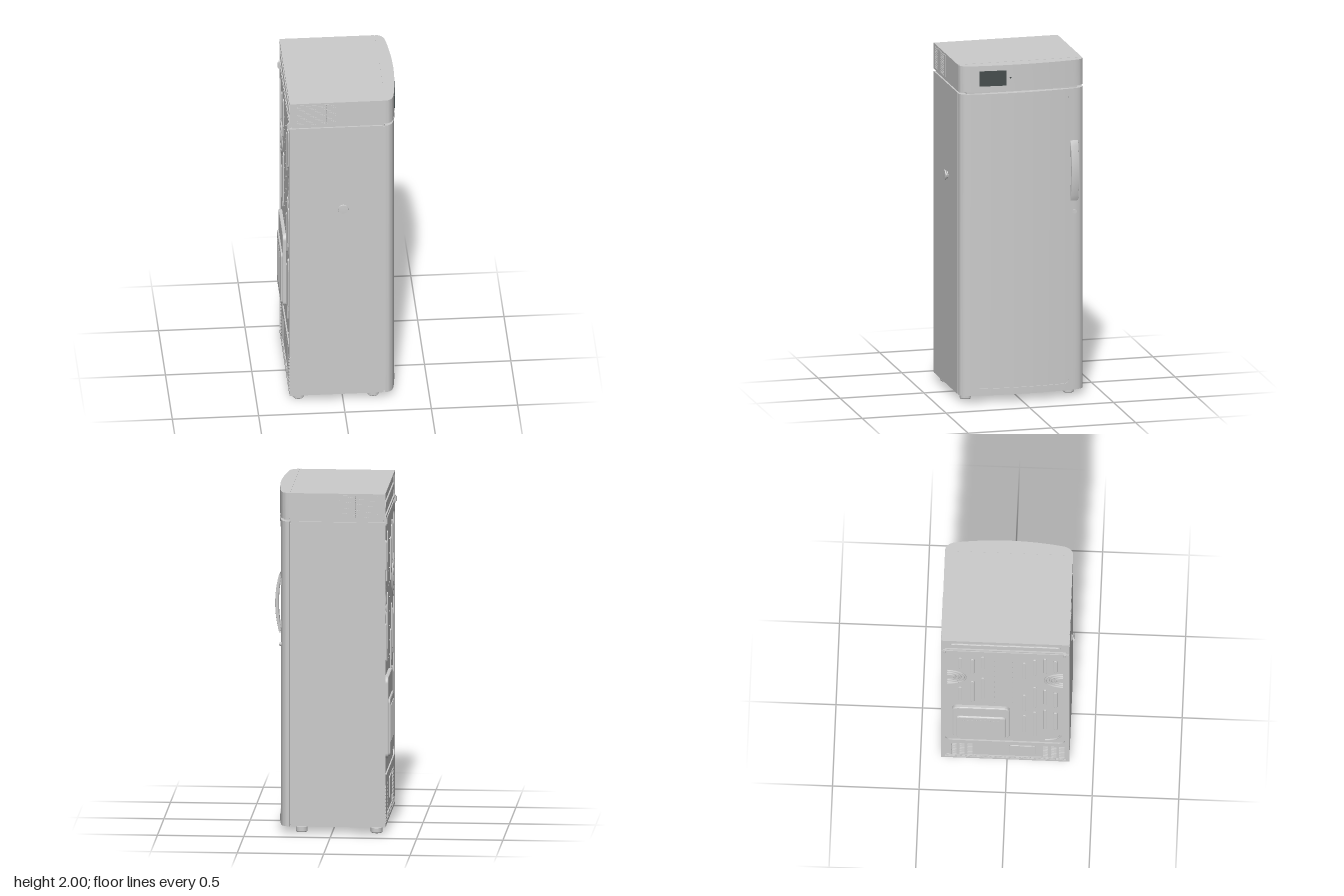
import * as THREE from 'three';
import { mergeGeometries, toCreasedNormals } from 'three/addons/utils/BufferGeometryUtils.js';

const grey = new THREE.MeshStandardMaterial({ color: 0xcccccc });
const dark = new THREE.MeshStandardMaterial({ color: 0x454d4d });
const ZC = -0.01, HALF = 0.37, BACK = -0.302; // cabinet centre in z, half width, rear sheet

// Rounded rectangle centred on (x, y)
function roundRect(x, y, w, h, r, Type = THREE.Shape) {
  const s = new Type(), a = w / 2, b = h / 2;
  s.moveTo(x - a + r, y - b);
  s.absarc(x + a - r, y - b + r, r, -Math.PI / 2, 0);
  s.absarc(x + a - r, y + b - r, r, 0, Math.PI / 2);
  s.absarc(x - a + r, y + b - r, r, Math.PI / 2, Math.PI);
  s.absarc(x - a + r, y - b + r, r, Math.PI, Math.PI * 1.5);
  return s;
}

const extrude = (shape, depth, bevel = 0) => new THREE.ExtrudeGeometry(shape, {
  depth: depth - bevel, bevelEnabled: bevel > 0, bevelSize: bevel, bevelOffset: -bevel,
  bevelThickness: bevel, bevelSegments: 2, curveSegments: 6 });

// Raised piece on the rear sheet; shape runs in (z, y) and grows towards -x
const onBack = (shape, depth, bevel = 0, x = BACK) =>
  extrude(shape, depth, bevel).rotateY(-Math.PI / 2).translate(x, 0, 0);

// Bowed door outline as [x, z] from +z to -z
function frontOutline() {
  const arcX = d => 0.32 - 0.022 * (d / 0.305) ** 2;
  const corner = new THREE.QuadraticBezierCurve(new THREE.Vector2(0.243, HALF),
    new THREE.Vector2(0.289, HALF), new THREE.Vector2(0.298, 0.305)).getPoints(10);
  const half = corner.map(p => [p.x, p.y]);
  const panel = [0.278, 0.277, 0.275, 0.272, 0.268, 0.263, 0.256, 0.248];
  for (const d of [...panel, 0.21, 0.17, 0.13, 0.09, 0.045]) half.push([arcX(d), d]);
  const mirror = half.map(([x, d]) => [x, -d]).reverse();
  return [...half, [arcX(0), 0], ...mirror].map(([x, d]) => [x, d + ZC]);
}

// Prism with the bowed outline, standing between y0 and y1
function bowedBlock(y0, y1) {
  const s = new THREE.Shape(frontOutline().map(([x, z]) => new THREE.Vector2(x, -z)));
  const g = extrude(s, y1 - y0).rotateX(-Math.PI / 2).translate(0, y0, 0);
  return toCreasedNormals(g, 0.5);
}

// Door skin with a rounded, recessed panel
function doorSkin(y0, y1) {
  const pos = [], pts = frontOutline(), W = 0.278, R = 0.03, lo = 0.08, hi = 1.8, rec = 0.007;
  const quad = (a, b, c, d) => pos.push(...a, ...b, ...c, ...a, ...c, ...d);
  const inset = z => {
    const e = Math.max(0, Math.abs(z - ZC) - (W - R));
    return R - Math.sqrt(Math.max(0, R * R - e * e));
  };
  const strip = ([xa, za], [xb, zb], a0, a1, b0, b1) =>
    quad([xa, a0, za], [xb, b0, zb], [xb, b1, zb], [xa, a1, za]);
  for (let i = 0; i < pts.length - 1; i++) {
    const a = pts[i], b = pts[i + 1];
    if (Math.max(Math.abs(a[1] - ZC), Math.abs(b[1] - ZC)) > W + 1e-6) {
      strip(a, b, y0, y1, y0, y1);
      continue;
    }
    const ia = inset(a[1]), ib = inset(b[1]);
    const ar = [a[0] - rec, a[1]], br = [b[0] - rec, b[1]];
    strip(a, b, y0, lo + ia, y0, lo + ib);
    strip(a, b, hi - ia, y1, hi - ib, y1);
    strip(ar, br, lo + ia, hi - ia, lo + ib, hi - ib);
    const P = (p, y) => [p[0], y, p[1]];
    quad(P(a, lo + ia), P(b, lo + ib), P(br, lo + ib), P(ar, lo + ia));
    quad(P(ar, hi - ia), P(br, hi - ib), P(b, hi - ib), P(a, hi - ia));
  }
  // upright edges of the recess
  for (const s of [1, -1]) {
    const p = pts.find(q => Math.abs(q[1] - ZC - s * W) < 1e-6), [x, z] = p;
    const c = [[x, lo + R, z], [x - rec, lo + R, z], [x - rec, hi - R, z], [x, hi - R, z]];
    quad(...(s > 0 ? c : c.reverse()));
  }
  // top, bottom and rear
  const caps = THREE.ShapeUtils.triangulateShape(pts.map(([x, z]) => new THREE.Vector2(x, -z)), []);
  for (const [a, b, c] of caps) {
    const P = (i, y) => [pts[i][0], y, pts[i][1]];
    pos.push(...P(a, y1), ...P(b, y1), ...P(c, y1), ...P(c, y0), ...P(b, y0), ...P(a, y0));
  }
  strip(pts[pts.length - 1], pts[0], y0, y1, y0, y1);
  const g = new THREE.BufferGeometry();
  g.setAttribute('position', new THREE.Float32BufferAttribute(pos, 3));
  return toCreasedNormals(g, 0.5);
}

export function createModel() {
  const model = new THREE.Group();
  const add = (name, geo, mat = grey) => {
    const m = new THREE.Mesh(geo, mat);
    m.name = name;
    model.add(m);
    return m;
  };
  const box = (x0, x1, y0, y1, z0, z1) => new THREE.BoxGeometry(x1 - x0, y1 - y0, z1 - z0)
    .translate((x0 + x1) / 2, (y0 + y1) / 2, (z0 + z1) / 2);

  // Cabinet, head and the seams between them
  add('cabinet', box(BACK, 0.235, 0.04, 1.832, -0.38, 0.36));
  add('doorGasket', box(0.23, 0.246, 0.05, 1.82, -0.372, 0.352));
  add('headSeam', box(-0.295, 0.24, 1.825, 1.85, -0.37, 0.35));
  add('head', box(BACK, 0.237, 1.846, 2, -0.38, 0.36));
  add('headSeamFront', box(0.23, 0.28, 1.825, 1.85, -0.34, 0.32));
  add('headFront', bowedBlock(1.846, 2)).scale.set(1, 1, 1);
  add('headJoint', box(0.23, 0.246, 1.85, 1.999, -0.379, 0.359));
  add('door', doorSkin(0.04, 1.832));

  // Rims around the rear sheets
  const rim = (y0, y1, w, h, cy, r) => {
    const s = roundRect(ZC, (y0 + y1) / 2, 0.74, y1 - y0, 0.001);
    s.holes.push(roundRect(ZC, cy, w, h, r, THREE.Path));
    return onBack(s, 0.008);
  };
  add('rearRim', rim(0.3, 1.832, 0.69, 1.45, 1.06, 0.04));
  add('rearHeadRim', rim(1.846, 2, 0.71, 0.125, 1.923, 0.01));
  add('rearLowerRim', rim(0.04, 0.3, 0.71, 0.225, 0.172, 0.01));
  add('rearHeadRib', onBack(roundRect(ZC, 1.92, 0.64, 0.04, 0.019), 0.008, 0.003));

  // Pressed upright ribs: [z, bottom, top]
  const ribs = [[-0.27, 1.53, 1.71], [-0.2, 1.45, 1.69], [-0.14, 1.55, 1.74],
    [-0.27, 1.0, 1.22], [-0.2, 0.98, 1.32], [-0.14, 1.04, 1.38],
    [0.1, 1.4, 1.66], [0.16, 1.46, 1.72], [0.22, 1.5, 1.74], [0.28, 1.53, 1.71],
    [0.1, 0.86, 1.12], [0.16, 0.92, 1.26], [0.22, 0.98, 1.22], [0.28, 0.94, 1.18],
    [0.1, 0.5, 0.78], [0.16, 0.44, 0.84], [0.22, 0.56, 0.88], [0.28, 0.56, 0.84]];
  add('rearRibs', mergeGeometries(ribs.map(([z, a, b]) =>
    onBack(roundRect(z, (a + b) / 2, 0.022, b - a, 0.0109), 0.007, 0.003))));

  // Half-round pressings by both edges, and a curved one low down
  const ring = (r, turn, z, y, arc = Math.PI) => new THREE.TorusGeometry(r, 0.007, 8, 20, arc)
    .rotateZ(turn).rotateY(-Math.PI / 2).translate(BACK, y, z);
  const rings = [0.045, 0.075, 0.105].flatMap(r =>
    [ring(r, -Math.PI / 2, -0.345, 1.38), ring(r, Math.PI / 2, 0.325, 1.38)]);
  add('rearPressings', mergeGeometries([...rings, ring(0.09, -Math.PI / 2, 0.22, 0.47, Math.PI / 2)]));

  // Small fixings down the middle
  const dots = [];
  for (let i = 0; i < 9; i++) for (const z of [-0.07, 0.03])
    dots.push(new THREE.CylinderGeometry(0.004, 0.004, 0.006, 8).rotateZ(Math.PI / 2)
      .translate(BACK - 0.001, 0.98 + i * 0.085, z));
  add('rearRivets', mergeGeometries(dots));

  // Compressor cover in two tiers, with slats
  add('compressorCover', onBack(roundRect(-0.15, 0.67, 0.33, 0.48, 0.035), 0.02, 0.006));
  add('compressorCoverBulge', onBack(roundRect(-0.15, 0.61, 0.29, 0.34, 0.025), 0.03, 0.008));
  const slats = [];
  for (let i = 0; i < 9; i++)
    slats.push(onBack(roundRect(-0.25 + i * 0.025, 0.63, 0.01, 0.22, 0.004), 0.004, 0, -0.331));
  add('compressorSlats', mergeGeometries(slats));

  // Perforated plates: cols x rows of square holes
  const perforated = (cx, cy, w, h, cols, rows, fill) => {
    const s = roundRect(cx, cy, w, h, 0.003), dx = w / cols, dy = h / rows;
    for (let i = 0; i < cols; i++) for (let j = 0; j < rows; j++) {
      const x = cx - w / 2 + (i + 0.5) * dx, y = cy - h / 2 + (j + 0.5) * dy;
      const a = dx * fill / 2, b = dy * fill / 2, p = new THREE.Path();
      p.moveTo(x - a, y - b).lineTo(x + a, y - b).lineTo(x + a, y + b).lineTo(x - a, y + b);
      s.holes.push(p);
    }
    return s;
  };
  for (const z of [-0.26, 0.27])
    add('rearGrille', onBack(perforated(z, 0.185, 0.14, 0.19, 3, 9, 0.65), 0.006));
  add('rearServicePlate', onBack(roundRect(0.09, 0.2, 0.15, 0.13, 0.01), 0.006, 0.002));
  add('rearLowerSlots', onBack(perforated(ZC, 0.072, 0.68, 0.022, 24, 1, 0.6), 0.006));

  // Head vents on both sides
  const vent = extrude(perforated(-0.155, 1.924, 0.23, 0.13, 22, 12, 0.55), 0.003);
  add('sideVent', vent).position.z = 0.359;
  add('sideVent', vent.clone()).position.z = -0.382;

  // Display, following the bow of the head
  const display = extrude(perforated(0.17, 1.924, 0.16, 0.09, 1, 1, 0.9), 0.006);
  const turned = g => g.rotateY(Math.PI / 2);
  const tilt = new THREE.Group();
  tilt.name = 'display';
  tilt.position.set(0.3105, 1.924, 0.17);
  tilt.rotation.y = -0.085;
  const bezel = new THREE.Mesh(turned(display.translate(-0.17, -1.924, -0.002)), dark);
  const screen = new THREE.Mesh(turned(extrude(roundRect(0, 0, 0.158, 0.088, 0.006), 0.006)), dark);
  bezel.name = 'displayBezel';
  screen.name = 'displayScreen';
  tilt.add(bezel, screen);
  model.add(tilt);
  const knob = (r, len, x, y, z) => new THREE.CylinderGeometry(r, r, len, 20)
    .rotateZ(Math.PI / 2).translate(x, y, z);
  add('indicator', knob(0.005, 0.006, 0.317, 1.924, 0.067), dark);

  // Bowed handle on two posts, with the lock below
  const bow = new THREE.Shape();
  bow.moveTo(0.303, 1.17).quadraticCurveTo(0.352, 1.345, 0.303, 1.52);
  bow.lineTo(0.299, 1.5).quadraticCurveTo(0.329, 1.345, 0.299, 1.19);
  add('handle', toCreasedNormals(new THREE.ExtrudeGeometry(bow, { depth: 0.04, bevelSize: 0.003,
    bevelThickness: 0.003, bevelSegments: 2, curveSegments: 24 }).translate(0, 0, -0.338), 0.6));
  for (const y of [1.22, 1.47]) add('handlePost', box(0.285, 0.312, y - 0.02, y + 0.02, -0.335, -0.31));
  add('lock', knob(0.013, 0.02, 0.295, 1.1, -0.32));
  add('lockCore', knob(0.007, 0.024, 0.296, 1.1, -0.32));

  // Access port on the side
  const port = [[0, 0], [0.022, 0], [0.022, 0.005], [0.015, 0.006], [0.015, 0.01],
    [0.028, 0.011], [0.03, 0.014], [0.028, 0.019], [0, 0.02]].map(p => new THREE.Vector2(...p));
  add('accessPort', toCreasedNormals(new THREE.LatheGeometry(port, 32)
    .rotateX(Math.PI / 2).translate(0, 1.29, 0.36), 0.6));

  // Hinges at the rear corners
  for (const z of [-0.36, 0.335]) {
    add('hingePlate', box(-0.317, -0.3, 1.815, 1.86, z - 0.01, z + 0.01));
    add('hingePin', new THREE.CylinderGeometry(0.008, 0.008, 0.03, 12).translate(-0.315, 1.838, z));
  }

  // Feet
  const foot = [[0, 0], [0.03, 0], [0.034, 0.005], [0.034, 0.03], [0.028, 0.034], [0.028, 0.042]]
    .map(p => new THREE.Vector2(...p));
  const footGeo = toCreasedNormals(new THREE.LatheGeometry(foot, 24), 0.6);
  for (const x of [-0.255, 0.178]) for (const z of [-0.315, 0.3])
    add('foot', footGeo).position.set(x, 0, z);
  return model;
}
